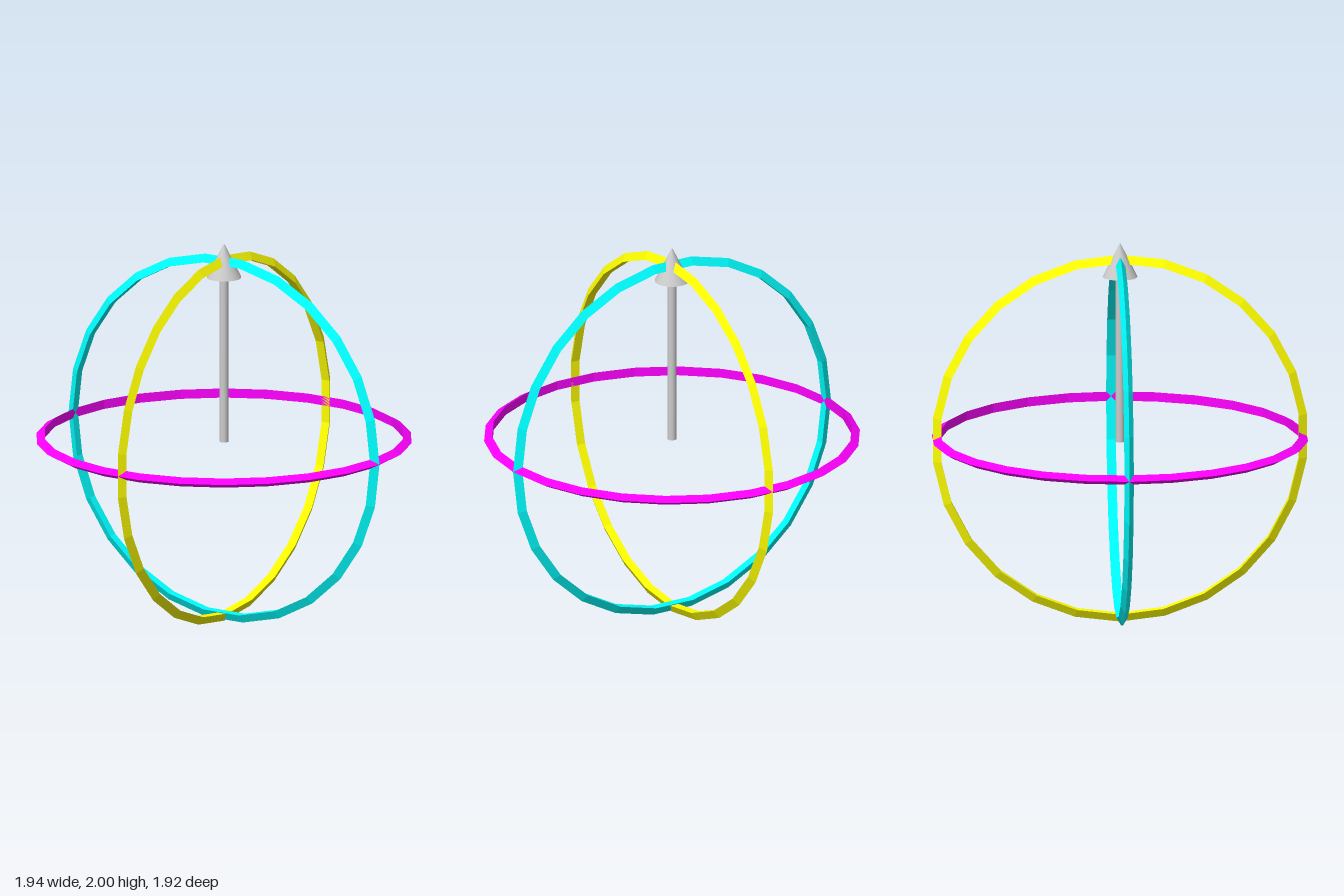
import * as THREE from 'three';

const CENTRE = 0.968, RADIUS = 0.94, TUBE = 0.028;

export function createModel() {
  const model = new THREE.Group();

  const add = (name, geometry, y, color, flatShading) => {
    const mesh = new THREE.Mesh(geometry, new THREE.MeshStandardMaterial({ color, flatShading }));
    mesh.name = name;
    mesh.position.y = y;
    model.add(mesh);
  };

  // Three low-poly hoops with a triangular section, one per plane
  const hoop = () => new THREE.TorusGeometry(RADIUS, TUBE, 3, 26);
  add('frontHoop', hoop(), CENTRE, 0x00ffff, true);
  add('levelHoop', hoop().rotateX(Math.PI / 2), CENTRE, 0xff00ff, true);
  add('sideHoop', hoop().rotateZ(Math.PI / 2).rotateY(Math.PI / 2), CENTRE, 0xffff00, true);

  // Upright arrow from the middle to above the hoops
  const bottom = 0.95, neck = 1.82, tip = 2;
  add('arrowShaft', new THREE.CylinderGeometry(0.023, 0.023, neck - bottom, 16), (bottom + neck) / 2, 0xcccccc, false);
  add('arrowHead', new THREE.ConeGeometry(0.09, tip - neck, 16), (neck + tip) / 2, 0xcccccc, false);

  return model;
}
